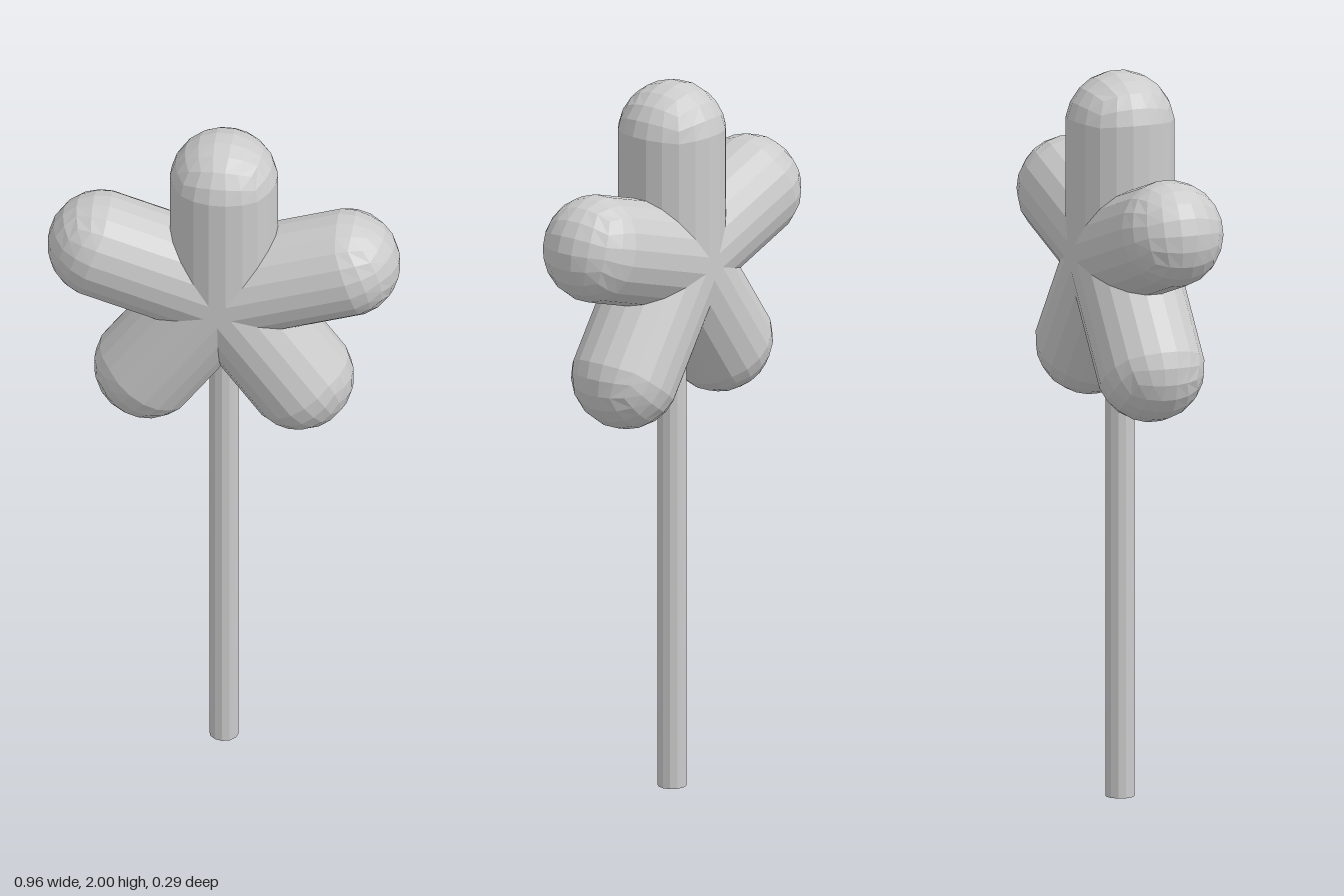
import * as THREE from 'three';

const CENTRE_Y = 1.505; // middle of the flower
const REACH = 0.35;     // from the middle to the centre of a petal's round tip
const RADIUS = 0.1486;

// A capsule with square-gridded round ends: a cube rounded to a sphere, then pulled apart along y
function petalGeometry() {
  const geometry = new THREE.BoxGeometry(2, 2, 2, 5, 5, 5);
  const pos = geometry.attributes.position;
  const v = new THREE.Vector3();
  for (let i = 0; i < pos.count; i++) {
    v.fromBufferAttribute(pos, i);
    const shift = v.y > 0 ? REACH : 0;
    v.set(...v.toArray().map((c) => Math.tan(c * Math.PI / 4)));
    v.normalize().multiplyScalar(RADIUS);
    pos.setXYZ(i, v.x, v.y + shift, v.z);
  }
  geometry.computeVertexNormals();
  return geometry;
}

export function createModel() {
  const model = new THREE.Group();
  model.name = 'flower';
  const material = new THREE.MeshStandardMaterial({ color: 0xcccccc, flatShading: true });

  // Stem, running up into the flower head
  const stem = new THREE.Mesh(new THREE.CylinderGeometry(0.04, 0.04, CENTRE_Y, 12), material);
  stem.name = 'stem';
  stem.position.y = CENTRE_Y / 2;
  model.add(stem);

  // Five petals spread evenly around the middle
  const head = new THREE.Group();
  head.name = 'flowerHead';
  head.position.y = CENTRE_Y;
  const geometry = petalGeometry();
  for (let i = 0; i < 5; i++) {
    const petal = new THREE.Mesh(geometry, material);
    petal.name = `petal${i + 1}`;
    petal.rotation.z = i * Math.PI * 2 / 5;
    head.add(petal);
  }
  model.add(head);
  return model;
}
